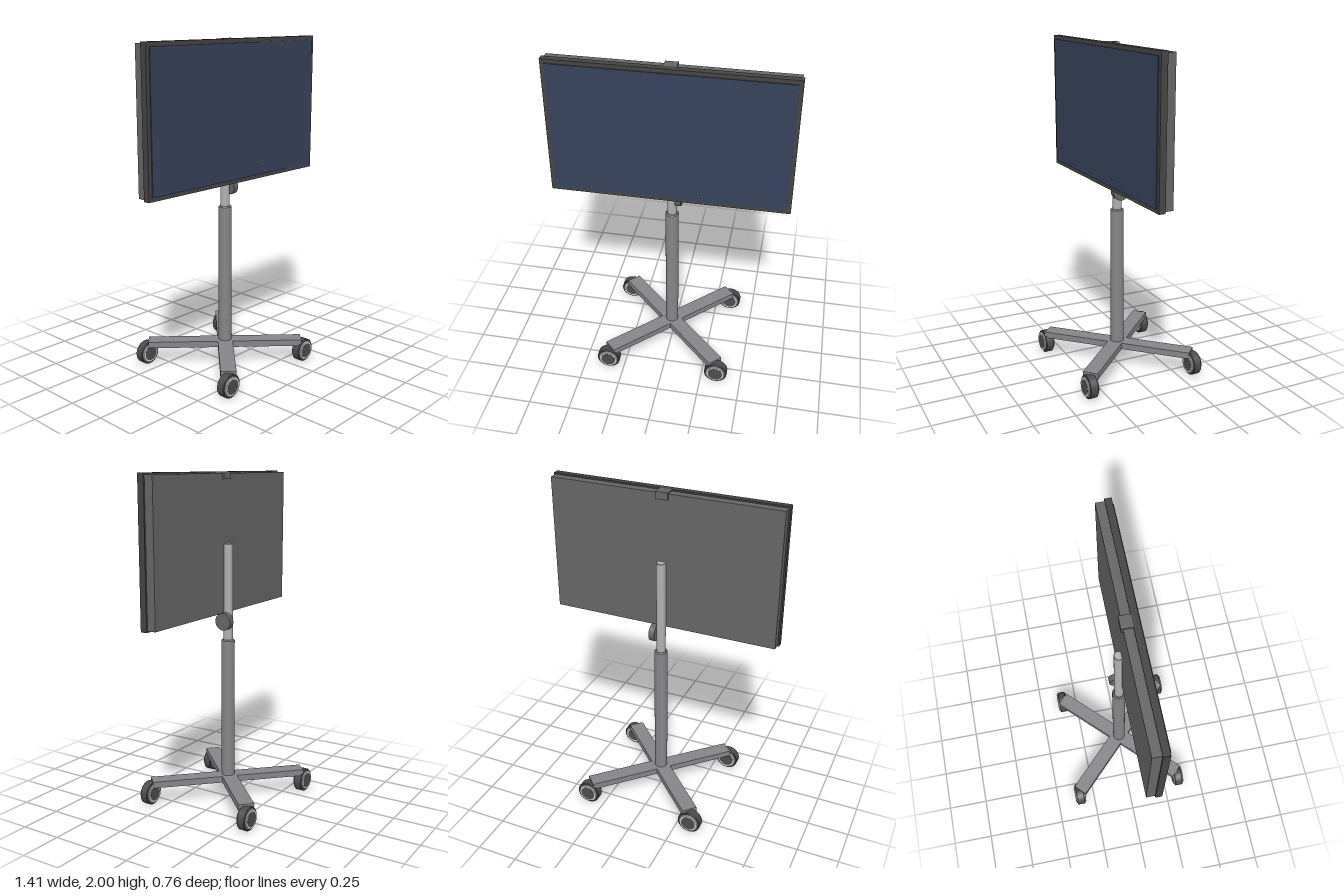
import * as THREE from 'three';
import { toCreasedNormals } from 'three/addons/utils/BufferGeometryUtils.js';

const mat = (color) => new THREE.MeshStandardMaterial({ color });
const MATS = {
  frame: mat(0x444444), back: mat(0x666666), glass: mat(0x36425c), led: mat(0x22aa55),
  column: mat(0x85858a), tube: mat(0xb0b0b0), rubber: mat(0x4c4c4c), rim: mat(0xcccccc), knob: mat(0x666666),
};

function add(parent, name, geometry, material, x = 0, y = 0, z = 0) {
  const mesh = new THREE.Mesh(geometry, material);
  mesh.name = name;
  mesh.position.set(x, y, z);
  parent.add(mesh);
  return mesh;
}

// Box given by its extents on each axis
function boxPart(parent, name, material, [x0, x1], [y0, y1], [z0, z1]) {
  return add(parent, name, new THREE.BoxGeometry(x1 - x0, y1 - y0, z1 - z0), material,
    (x0 + x1) / 2, (y0 + y1) / 2, (z0 + z1) / 2);
}

// Solid of revolution about y, from y0 to y1, with chamfered ends
function turned(radius, y0, y1, chamfer) {
  const profile = [[0, y0], [radius - chamfer, y0], [radius, y0 + chamfer],
    [radius, y1 - chamfer], [radius - chamfer, y1], [0, y1]].map(([r, y]) => new THREE.Vector2(r, y));
  return toCreasedNormals(new THREE.LatheGeometry(profile, 40), 0.5);
}

function createWheel() {
  const wheel = new THREE.Group();
  wheel.name = 'casterWheel';
  const spin = (g) => g.rotateX(Math.PI / 2);
  add(wheel, 'tyre', spin(turned(0.071, -0.026, 0.026, 0.004)), MATS.rubber);
  add(wheel, 'rim', spin(turned(0.06, -0.034, 0.034, 0.004)), MATS.rim);
  add(wheel, 'hubCap', spin(new THREE.CylinderGeometry(0.045, 0.045, 0.07, 40)), MATS.rubber);
  return wheel;
}

export function createModel() {
  const model = new THREE.Group();
  model.name = 'displayStand';

  // Cross base: four diagonal arms, each ending over a wheel
  const base = new THREE.Group();
  base.name = 'base';
  model.add(base);
  for (const sx of [-1, 1]) {
    const beam = boxPart(base, 'crossBeam', MATS.column, [-0.478, 0.478], [0.114, 0.153], [-0.046, 0.046]);
    beam.rotation.y = sx * Math.PI / 4;
    for (const sz of [-1, 1]) {
      const wheel = createWheel();
      wheel.position.set(sx * 0.345, 0.072, sz * 0.344);
      base.add(wheel);
    }
  }

  // Telescopic column
  add(model, 'lowerColumn', turned(0.04, 0.115, 1.012, 0.006), MATS.column);
  add(model, 'upperTube', turned(0.028, 0.98, 1.587, 0.003), MATS.tube);

  // Height clamp knob on the left side of the tube
  const knob = new THREE.CylinderGeometry(0.052, 0.052, 0.036, 40).rotateZ(Math.PI / 2);
  add(model, 'clampKnob', knob, MATS.knob, 0.042, 1.127, 0);

  // Screen
  const screen = new THREE.Group();
  screen.name = 'screen';
  model.add(screen);
  boxPart(screen, 'rearHousing', MATS.back, [-0.695, 0.695], [1.174, 1.991], [0.014, 0.066]);
  boxPart(screen, 'bezel', MATS.frame, [-0.704, 0.704], [1.166, 2], [0.065, 0.104]);
  boxPart(screen, 'glass', MATS.glass, [-0.68, 0.68], [1.19, 1.976], [0.1, 0.11]);
  add(screen, 'statusLight', new THREE.SphereGeometry(0.007, 16, 10), MATS.led, 0.168, 1.242, 0.11);
  boxPart(screen, 'topClip', MATS.knob, [-0.037, 0.037], [1.957, 2], [0.003, 0.066]);

  return model;
}
